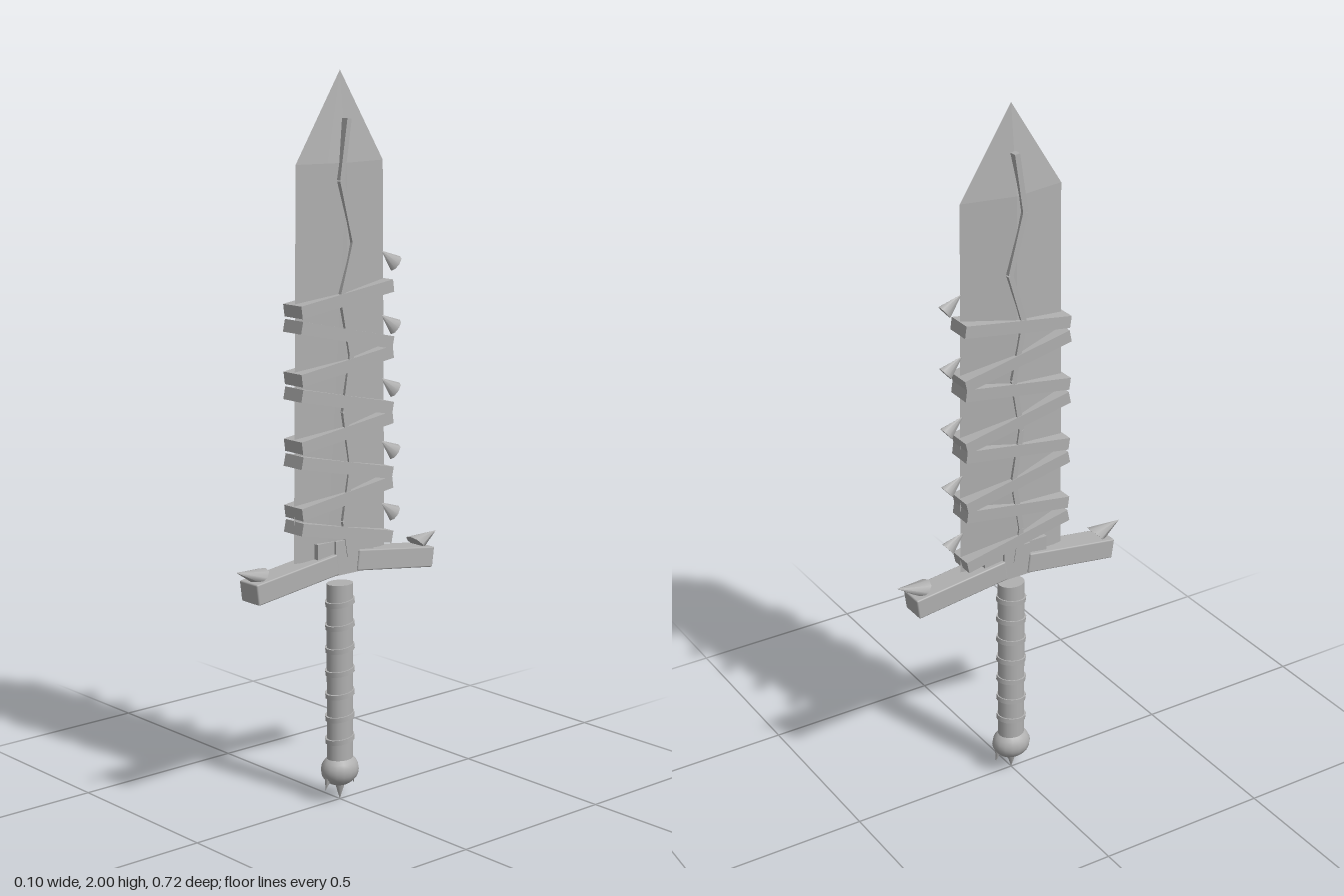
import * as THREE from 'three';
import { RoundedBoxGeometry } from 'three/addons/geometries/RoundedBoxGeometry.js';

export function createModel() {
  const model = new THREE.Group();
  const grey = new THREE.MeshStandardMaterial({ color: 0xb0b0b0 });
  grey.name = 'weathered grey';

  const add = (name, geometry, parent = model) => {
    const mesh = new THREE.Mesh(geometry, grey);
    mesh.name = name;
    parent.add(mesh);
    return mesh;
  };
  const group = (name) => {
    const g = new THREE.Group();
    g.name = name;
    model.add(g);
    return g;
  };

  // Straight bar between two [y, z] points, centred on x = 0
  const bar = (name, [y0, z0], [y1, z1], height, thickness, parent, bevel = 0) => {
    const length = Math.hypot(y1 - y0, z1 - z0);
    const geometry = bevel
      ? new RoundedBoxGeometry(thickness, height, length, 1, bevel)
      : new THREE.BoxGeometry(thickness, height, length);
    const mesh = add(name, geometry, parent);
    mesh.position.set(0, (y0 + y1) / 2, (z0 + z1) / 2);
    mesh.rotation.x = Math.atan2(y0 - y1, z1 - z0);
  };

  // Cone from a base centre to a tip, with an oval (possibly slanted) base
  const spike = (name, base, tip, rx, half, parent) => {
    const axis = new THREE.Vector3(0, tip[0] - base[0], tip[1] - base[1]);
    const u = new THREE.Vector3(rx, 0, 0);
    const v = new THREE.Vector3(0, half[0], half[1]);
    if (u.clone().cross(axis).dot(v) < 0) v.negate();
    const matrix = new THREE.Matrix4().makeBasis(u, axis, v).setPosition(0, base[0], base[1]);
    const cone = new THREE.ConeGeometry(1, 1, 8).translate(0, 0.5, 0).applyMatrix4(matrix);
    add(name, cone, parent);
  };

  // Blade: eight-sided section, tapering to a point
  const section = [[0, 1], [0.018, 0.38], [0.03, 0], [0.018, -0.38],
    [0, -1], [-0.018, -0.38], [-0.03, 0], [-0.018, 0.38]];
  const ring = (y, w, t) => section.map(([x, z]) => [x * t, y, z * w]);
  const rings = [ring(0.7, 0.163, 1), ring(1.76, 0.152, 0.92), ring(2, 0, 0)];
  const points = [];
  const bottom = [0, 0.7, 0];
  for (let i = 0; i < 8; i++) {
    const j = (i + 1) % 8;
    for (let k = 0; k < 2; k++) {
      const [a, b, c, d] = [rings[k][i], rings[k][j], rings[k + 1][j], rings[k + 1][i]];
      points.push(...a, ...b, ...c);
      if (k === 0) points.push(...a, ...c, ...d);
    }
    points.push(...bottom, ...rings[0][j], ...rings[0][i]);
  }
  const bladeGeometry = new THREE.BufferGeometry();
  bladeGeometry.setAttribute('position', new THREE.Float32BufferAttribute(points, 3));
  bladeGeometry.computeVertexNormals();
  add('blade', bladeGeometry);

  // Jagged vein running down the middle of the blade
  const vein = group('vein');
  const path = [[1.875, -0.003], [1.715, 0.022], [1.55, -0.022], [1.41, 0.02], [1.25, -0.012],
    [1.1, 0.012], [0.95, -0.012], [0.8, 0.012], [0.7, -0.005]];
  for (let i = 0; i < path.length - 1; i++) {
    bar('veinSegment', path[i], path[i + 1], 0.015, 0.07, vein);
  }

  // Wrappings zigzagging along the blade
  const wraps = group('wraps');
  for (let i = 0; i < 4; i++) {
    const y = 1.38 - i * 0.18;
    bar('wrapUp', [y, 0.163], [y + 0.045, -0.16], 0.034, 0.074, wraps);
    bar('wrapDown', [y - 0.04, 0.163], [y - 0.11, -0.16], 0.034, 0.074, wraps);
  }

  // Thorns along the rear edge
  const thorns = group('thorns');
  for (let i = 0; i < 5; i++) {
    const y = 1.478 - i * 0.1735;
    spike('thorn', [y, -0.201], [y + 0.039, -0.148], 0.0155, [0.0185, -0.016], thorns);
  }

  // Crossguard: centre block, collar, two drooping arms with upturned tips
  const guard = group('guard');
  add('guardCentre', new THREE.BoxGeometry(0.066, 0.095, 0.084), guard).position.y = 0.7;
  add('guardCollar', new THREE.BoxGeometry(0.05, 0.05, 0.2), guard).position.y = 0.722;
  for (const s of [1, -1]) {
    bar('guardArm', [0.684, s * 0.036], [0.647, s * 0.317], 0.058, 0.074, guard, 0.004);
    spike('guardTip', [0.688, s * 0.28], [0.71, s * 0.36], 0.031, [0.019, -s * 0.019], guard);
  }

  // Grip with slanted binding rings
  const grip = group('grip');
  const handle = add('handle', new THREE.CylinderGeometry(1, 1, 0.5, 16), grip);
  handle.scale.set(0.033, 1, 0.039);
  handle.position.y = 0.37;
  for (let i = 0; i < 7; i++) {
    const binding = add('binding', new THREE.CylinderGeometry(1, 1, 0.014, 16), grip);
    binding.scale.set(0.037, 1, 0.044);
    binding.position.y = 0.568 - i * 0.065;
    binding.rotation.x = 0.12;
  }

  // Pommel with three claws underneath
  const pommel = group('pommel');
  const ball = add('pommelBall', new THREE.SphereGeometry(1, 16, 12), pommel);
  ball.scale.set(0.048, 0.046, 0.057);
  ball.position.y = 0.088;
  spike('pommelClaw', [0.05, 0], [0, 0], 0.014, [0, 0.016], pommel);
  for (const s of [1, -1]) {
    spike('pommelClaw', [0.08, s * 0.04], [0.036, s * 0.052], 0.012, [0.003, 0.014], pommel);
  }
  return model;
}
